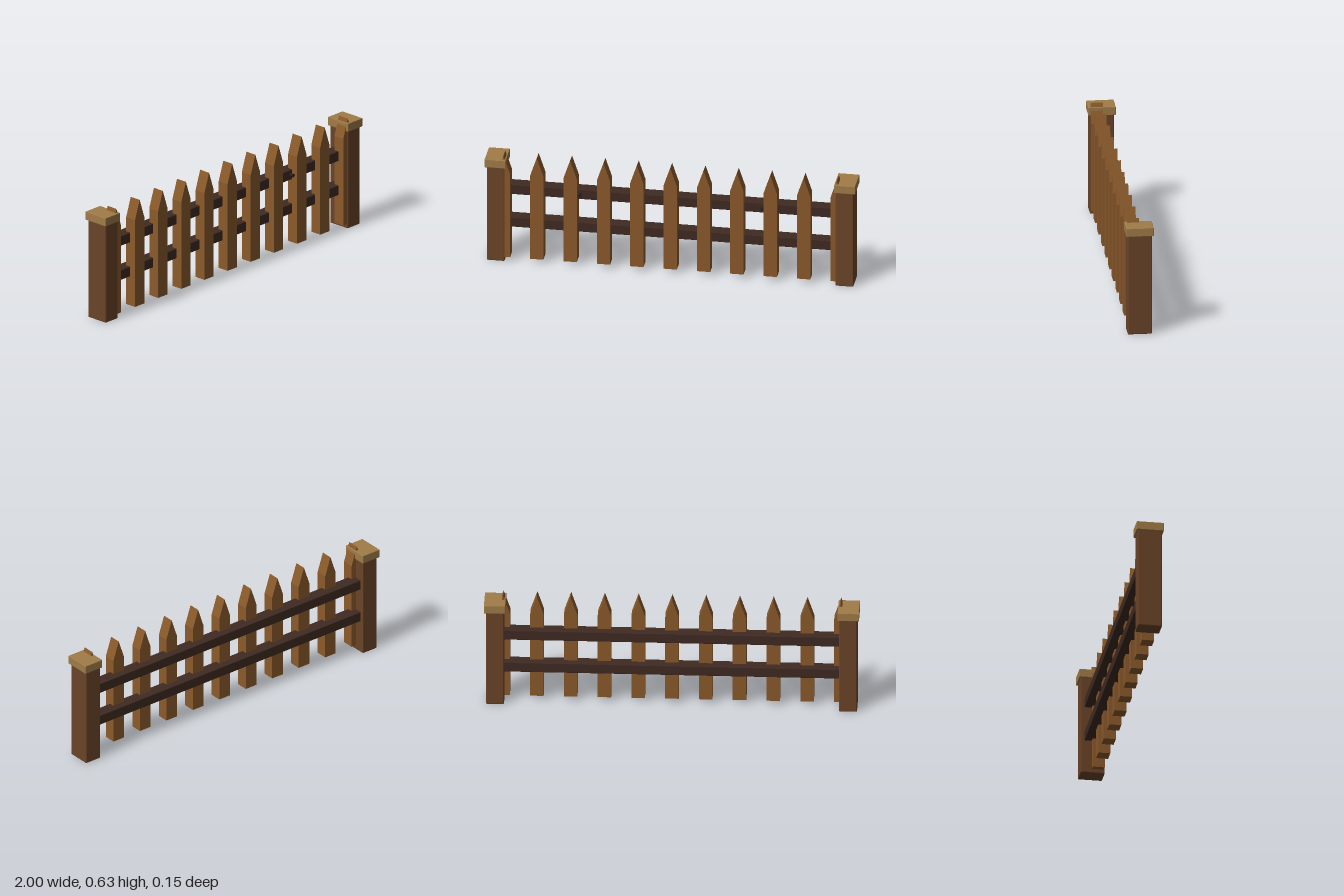
import * as THREE from 'three';
import { RoundedBoxGeometry } from 'three/addons/geometries/RoundedBoxGeometry.js';

const material = (color) => new THREE.MeshStandardMaterial({ color, flatShading: true });

export function createModel() {
  const fence = new THREE.Group();
  fence.name = 'picketFence';
  const postWood = material(0x6b4428);
  const capWood = material(0xa07c48);
  const railWood = material(0x3f2a22);
  const picketWood = material(0x8b5a2b);
  const iron = material(0x222226);

  function add(name, geometry, mat, x, y, z) {
    const mesh = new THREE.Mesh(geometry, mat);
    mesh.name = name;
    mesh.position.set(x, y, z);
    fence.add(mesh);
  }
  // Box with a small one-step chamfer on every edge
  const chamferBox = (w, h, d, bevel) => new RoundedBoxGeometry(w, h, d, 1, bevel);

  // End posts with caps, and a bolt on the upper rail at each side
  const postGeometry = chamferBox(0.096, 0.565, 0.13, 0.005);
  const capGeometry = chamferBox(0.114, 0.048, 0.147, 0.003);
  const boltGeometry = new THREE.CylinderGeometry(0.01, 0.01, 0.03, 8).rotateX(Math.PI / 2);
  for (const [label, side] of [['left', 1], ['right', -1]]) {
    add(label + 'Post', postGeometry, postWood, side * 0.941, 0.2825, 0);
    add(label + 'PostCap', capGeometry, capWood, side * 0.943, 0.581, 0);
    add(label + 'Bolt', boltGeometry, iron, side * 0.493, 0.413, 0.03);
  }

  // Horizontal rails behind the pickets
  const railGeometry = chamferBox(1.8, 0.056, 0.068, 0.003);
  add('lowerRail', railGeometry, railWood, 0, 0.217, -0.01);
  add('upperRail', railGeometry, railWood, 0, 0.412, -0.01);

  // Pointed pickets; the outermost ones sit partly inside the posts
  const outline = new THREE.Shape([
    new THREE.Vector2(-0.036, 0.024),
    new THREE.Vector2(0.036, 0.024),
    new THREE.Vector2(0.036, 0.52),
    new THREE.Vector2(0, 0.627),
    new THREE.Vector2(-0.036, 0.52),
  ]);
  const picketGeometry = new THREE.ExtrudeGeometry(outline, { depth: 0.065, bevelEnabled: false });
  for (let i = 0; i < 11; i++) {
    add('picket' + (i + 1), picketGeometry, picketWood, (i - 5) * 0.18, 0, -0.005);
  }
  return fence;
}
